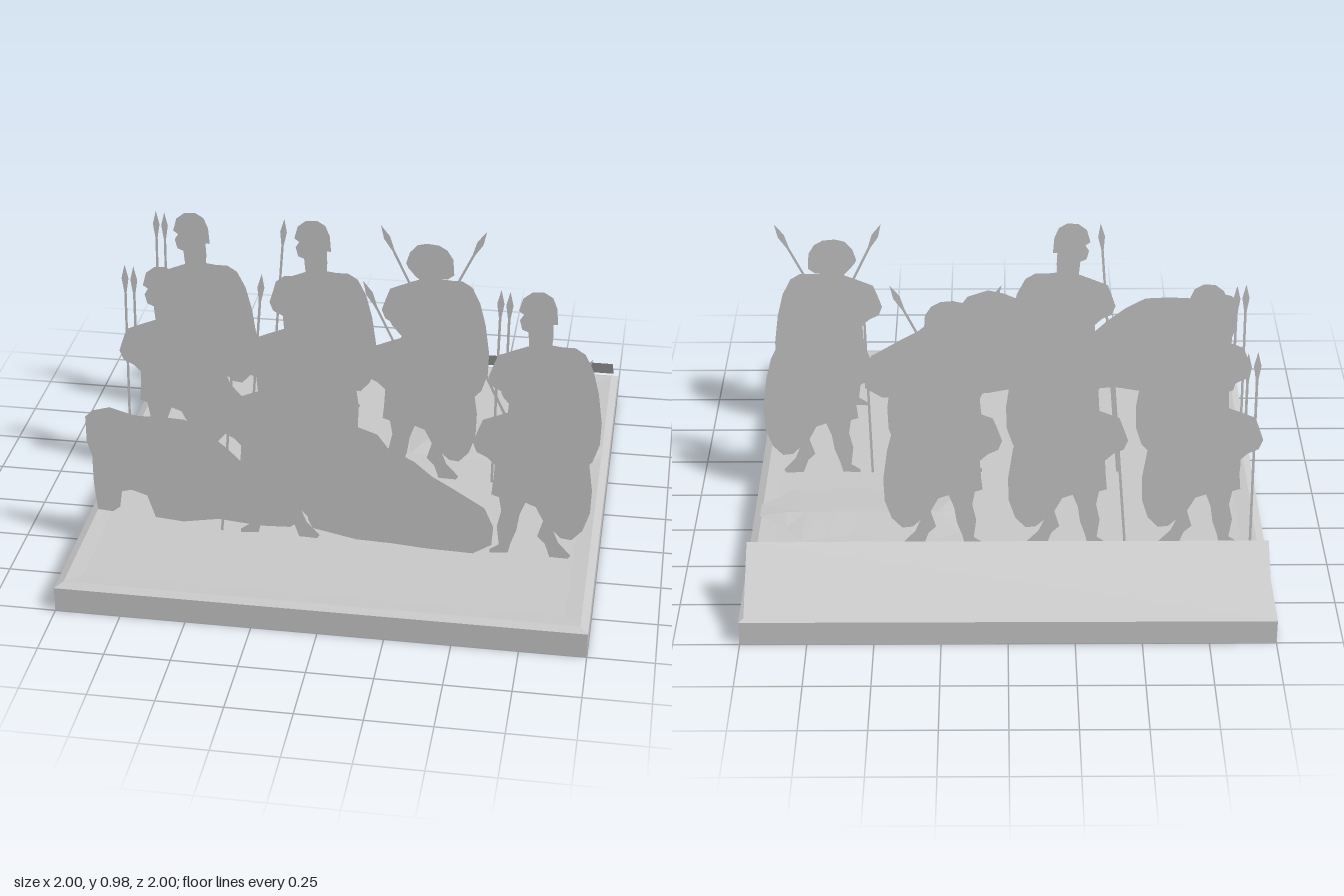
import * as THREE from 'three';

const stone = new THREE.MeshStandardMaterial({ color: 0xc8c8c8, side: THREE.DoubleSide });
stone.name = 'plainStone';

const toShape = (points) => new THREE.Shape(points.map(([x, y]) => new THREE.Vector2(x, y)));

// Flat upright cut-out made of one or more outlines
function cutout(name, outlines, x = 0, z = 0) {
  const mesh = new THREE.Mesh(new THREE.ShapeGeometry(outlines.map(toShape)), stone);
  mesh.name = name;
  mesh.position.set(x, 0, z);
  return mesh;
}

// Spear outline: leaf blade at the tip, thin shaft to the butt
function spear(tipX, tipY, buttX, buttY) {
  const tip = new THREE.Vector2(tipX, tipY);
  const along = new THREE.Vector2(buttX - tipX, buttY - tipY);
  const length = along.length();
  along.normalize();
  const at = (d, w) => [tip.x + along.x * d - along.y * w, tip.y + along.y * d + along.x * w];
  return [at(0, 0), at(0.06, 0.014), at(0.12, 0.005), at(length, 0.005),
    at(length, -0.005), at(0.12, -0.005), at(0.06, -0.014)];
}

// Body, round shield and legs, from the right neck clockwise to the left neck
const body = [
  [0.06, 0.75], [0.1, 0.745], [0.15, 0.745], [0.19, 0.72], [0.225, 0.65], [0.25, 0.55], [0.268, 0.42],
  [0.265, 0.32], [0.24, 0.24], [0.2, 0.195], [0.16, 0.2], [0.13, 0.23], [0.15, 0.18], [0.2, 0.125],
  [0.19, 0.11], [0.12, 0.112], [0.1, 0.17], [0.07, 0.2], [0.09, 0.27], [0.06, 0.33], [0.02, 0.345],
  [0, 0.29], [-0.01, 0.22], [-0.03, 0.16], [-0.04, 0.115], [-0.11, 0.11], [-0.11, 0.125], [-0.075, 0.15],
  [-0.085, 0.23], [-0.07, 0.3], [-0.08, 0.36], [-0.11, 0.37], [-0.105, 0.42], [-0.1, 0.5], [-0.13, 0.53],
  [-0.17, 0.55], [-0.185, 0.59], [-0.165, 0.65], [-0.15, 0.69], [-0.08, 0.72], [-0.03, 0.74],
];
const tallHead = [
  [-0.035, 0.8], [-0.06, 0.81], [-0.07, 0.85], [-0.055, 0.875], [-0.075, 0.89], [-0.06, 0.945],
  [-0.025, 0.973], [0.02, 0.976], [0.055, 0.955], [0.073, 0.91], [0.078, 0.84], [0.06, 0.84], [0.062, 0.79],
];
const shortHead = [
  [-0.05, 0.76], [-0.075, 0.79], [-0.085, 0.81], [-0.07, 0.86], [-0.04, 0.895], [0, 0.905],
  [0.05, 0.9], [0.085, 0.88], [0.11, 0.84], [0.115, 0.77], [0.09, 0.75],
];

const soldierTypes = {
  twoSpears: [[...body, ...tallHead], spear(-0.145, 0.975, -0.16, 0.11), spear(-0.11, 0.97, -0.115, 0.6)],
  leaningSpear: [[...body, ...tallHead], spear(-0.115, 0.975, -0.185, 0.11)],
  crossedSpears: [[...body, ...shortHead], spear(-0.19, 0.975, -0.06, 0.7), spear(0.245, 0.975, 0.09, 0.65)],
};

// Soldiers in three ranks: type, x, z
const ranks = [
  ['twoSpears', -0.78, -0.52], ['leaningSpear', -0.27, -0.52], ['crossedSpears', 0.205, -0.52],
  ['twoSpears', -0.785, 0], ['leaningSpear', -0.265, 0], ['crossedSpears', 0.21, 0], ['twoSpears', 0.705, 0],
  ['leaningSpear', -0.27, 0.52], ['crossedSpears', 0.7, 0.52],
];

// Hunched beasts in the front rank
const standingBeast = [
  [-0.968, 0.59], [-0.94, 0.62], [-0.87, 0.64], [-0.77, 0.61], [-0.68, 0.615], [-0.58, 0.61], [-0.5, 0.565],
  [-0.42, 0.5], [-0.37, 0.45], [-0.28, 0.405], [-0.17, 0.34], [-0.13, 0.28], [-0.14, 0.2], [-0.18, 0.17],
  [-0.3, 0.165], [-0.46, 0.18], [-0.6, 0.155], [-0.71, 0.165], [-0.74, 0.26], [-0.8, 0.28], [-0.84, 0.27],
  [-0.85, 0.2], [-0.88, 0.175], [-0.94, 0.18], [-0.95, 0.3], [-0.95, 0.42], [-0.968, 0.48],
];
const crouchingBeast = [
  [-0.1, 0.55], [-0.055, 0.6], [0.01, 0.63], [0.075, 0.645], [0.16, 0.615], [0.2, 0.56], [0.3, 0.51],
  [0.37, 0.45], [0.44, 0.41], [0.57, 0.33], [0.605, 0.25], [0.6, 0.17], [0.53, 0.125], [0.35, 0.13],
  [0.22, 0.14], [0.08, 0.145], [-0.09, 0.18], [-0.108, 0.22], [-0.108, 0.35],
];

// Fallen body on the ground: x, z outline
const fallenOutline = [
  [0.165, -0.4], [0.19, -0.45], [0.27, -0.485], [0.43, -0.485], [0.6, -0.46], [0.7, -0.485], [0.8, -0.5],
  [0.865, -0.41], [0.975, -0.33], [0.975, -0.25], [0.89, -0.185], [0.86, -0.14], [0.59, -0.135],
  [0.4, -0.145], [0.3, -0.18], [0.19, -0.157], [0.175, -0.26],
];

function quads(list) {
  const positions = [];
  for (const [a, b, c, d] of list) positions.push(...a, ...b, ...c, ...a, ...c, ...d);
  const geometry = new THREE.BufferGeometry();
  geometry.setAttribute('position', new THREE.Float32BufferAttribute(positions, 3));
  geometry.computeVertexNormals();
  return geometry;
}

export function createModel() {
  const group = new THREE.Group();
  const add = (name, geometry) => {
    const mesh = new THREE.Mesh(geometry, stone);
    mesh.name = name;
    group.add(mesh);
    return mesh;
  };

  // Square base with a slightly raised, bevelled rim
  const profile = [[0, 0], [1, 0], [1, 0.1], [0.97, 0.113], [0.91, 0.11], [0, 0.11]]
    .map(([r, y]) => new THREE.Vector2(r * Math.SQRT2, y));
  const base = new THREE.LatheGeometry(profile, 4, Math.PI / 4).toNonIndexed();
  base.computeVertexNormals();
  add('base', base);

  // Sloping plate along the back edge
  add('backRamp', quads([[[-0.98, 0.11, -1], [-0.98, 0.29, -0.75], [0.98, 0.29, -0.75], [0.98, 0.11, -1]]]));

  // Low domed sheet: outline joined to a spine along its middle
  const edge = ([x, z]) => [x, 0.121, z];
  const spine = ([x]) => [0.57 + (x - 0.57) * 0.75, 0.134, -0.32];
  add('fallenBody', quads(fallenOutline.map((p, i) => {
    const q = fallenOutline[(i + 1) % fallenOutline.length];
    return [edge(p), spine(p), spine(q), edge(q)];
  })));

  for (const [type, x, z] of ranks) group.add(cutout('soldier', soldierTypes[type], x, z));
  group.add(cutout('standingBeast', [standingBeast], 0, 0.55));
  group.add(cutout('crouchingBeast', [crouchingBeast], 0, 0.56));
  return group;
}
